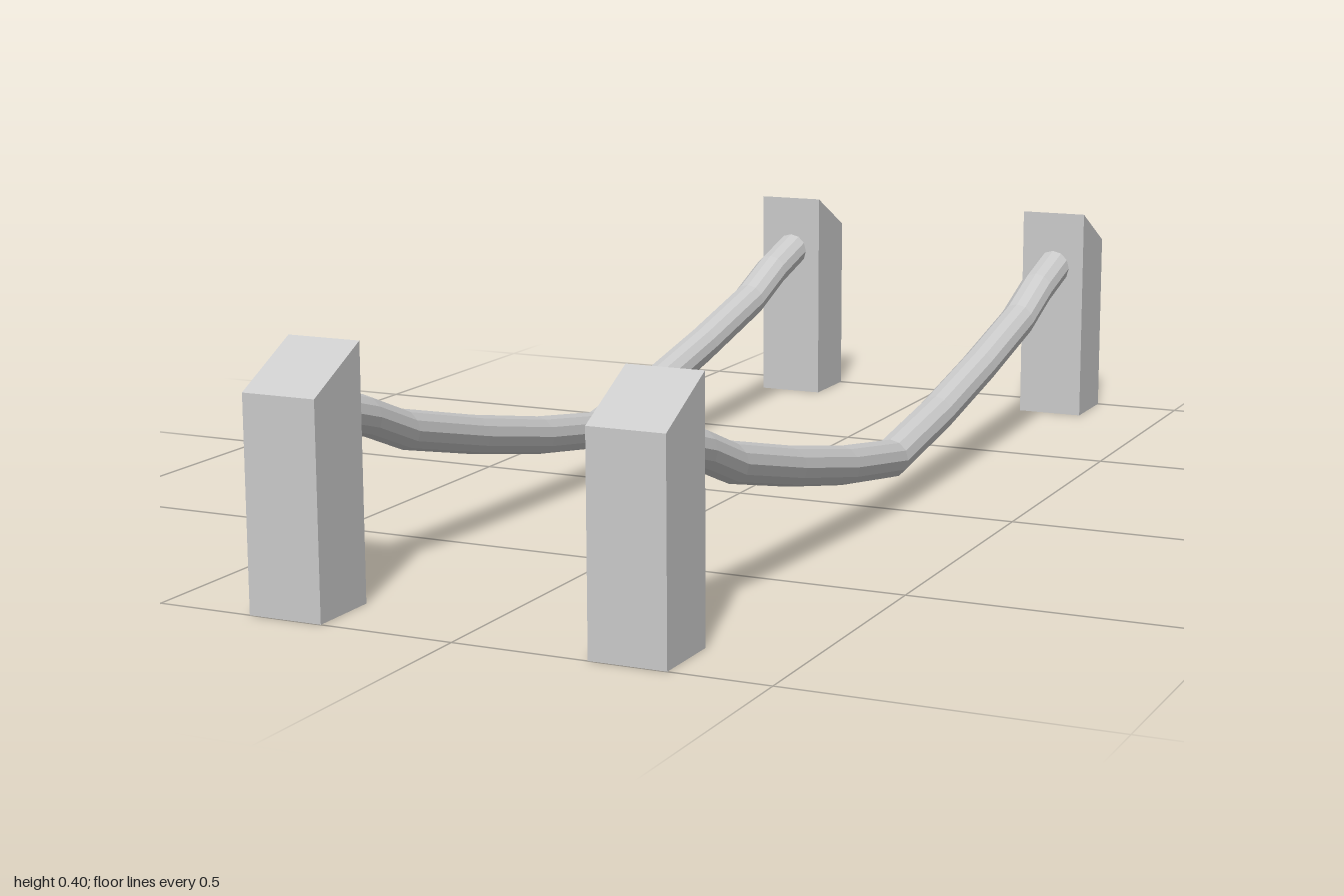
import * as THREE from 'three';

const material = new THREE.MeshStandardMaterial({ color: 0xcccccc, flatShading: true });
const RAIL_X = 0.28;
const POST_WIDTH = 0.123;

// Post with a sloped top, high on its inner side; profile drawn in z and y
function postGeometry() {
  const profile = new THREE.Shape([
    new THREE.Vector2(0.875, 0),
    new THREE.Vector2(1, 0),
    new THREE.Vector2(1, 0.335),
    new THREE.Vector2(0.875, 0.4),
  ]);
  const geometry = new THREE.ExtrudeGeometry(profile, { depth: POST_WIDTH, bevelEnabled: false });
  geometry.rotateY(-Math.PI / 2);
  geometry.translate(POST_WIDTH / 2, 0, 0);
  return geometry;
}

// Sagging rope: a straight tube whose rings are moved onto the sag curve
function ropeGeometry() {
  const half = [[0, 0.088], [0.22, 0.122], [0.44, 0.167], [0.66, 0.219], [0.77, 0.262], [0.885, 0.295]];
  const path = [...half.slice(1).reverse().map(([z, y]) => [-z, y]), ...half];
  const steps = path.length - 1;
  const geometry = new THREE.CylinderGeometry(0.033, 0.033, steps, 12, steps);
  geometry.rotateX(Math.PI / 2);
  const position = geometry.attributes.position;
  for (let i = 0; i < position.count; i++) {
    const [z, y] = path[Math.round(position.getZ(i) + steps / 2)];
    position.setY(i, position.getY(i) + y);
    position.setZ(i, z);
  }
  geometry.computeVertexNormals();
  return geometry;
}

export function createModel() {
  const model = new THREE.Group();
  model.name = 'ropeRailings';
  const post = postGeometry();
  const rope = ropeGeometry();

  // One railing on each side: front post, back post and the rope between
  for (const [side, sign] of [['left', 1], ['right', -1]]) {
    const railing = new THREE.Group();
    railing.name = `${side}Railing`;
    railing.position.x = sign * RAIL_X;

    const frontPost = new THREE.Mesh(post, material);
    frontPost.name = `${side}FrontPost`;
    const backPost = new THREE.Mesh(post, material);
    backPost.name = `${side}BackPost`;
    backPost.rotation.y = Math.PI;
    const ropeMesh = new THREE.Mesh(rope, material);
    ropeMesh.name = `${side}Rope`;

    railing.add(frontPost, backPost, ropeMesh);
    model.add(railing);
  }
  return model;
}
